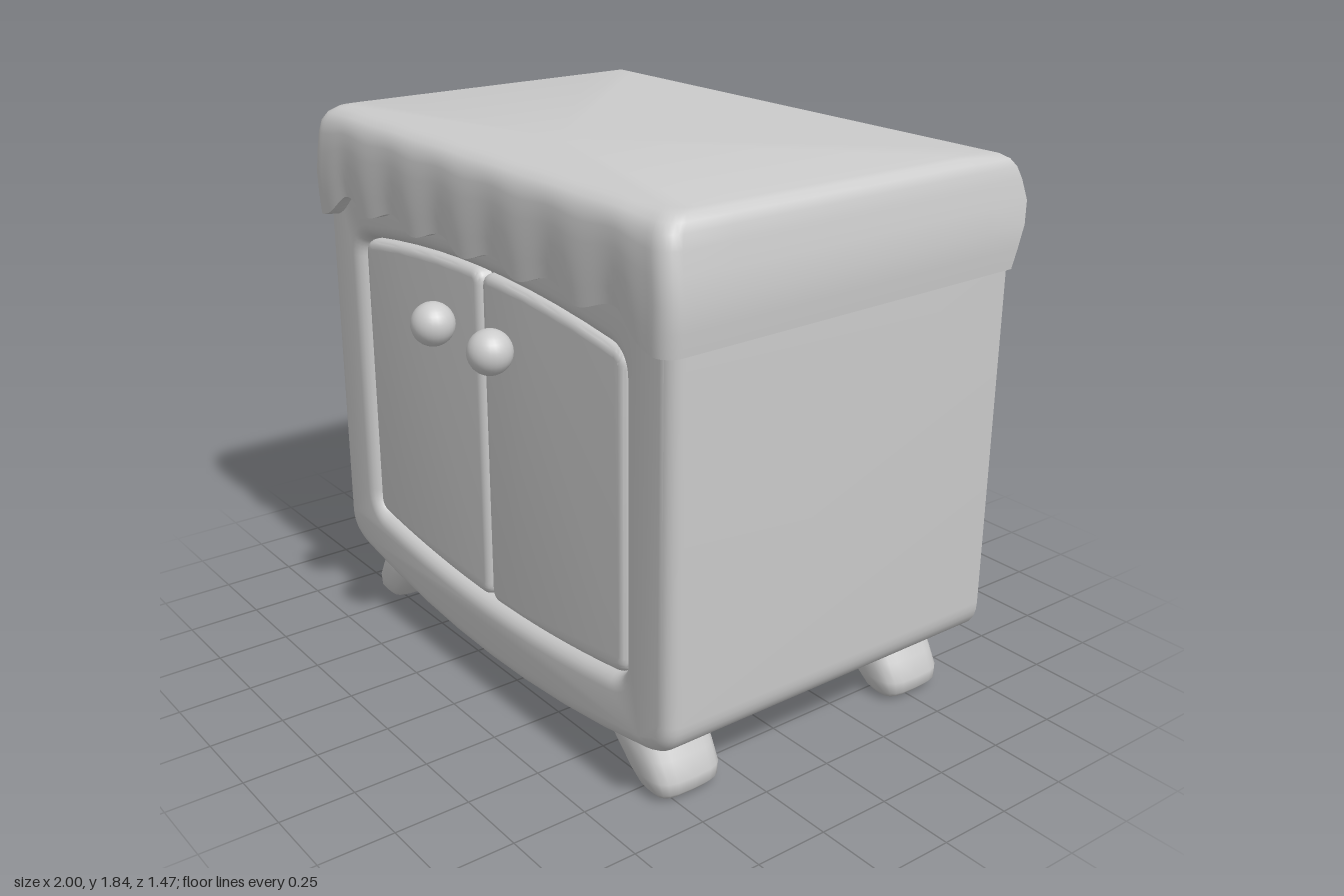
import * as THREE from 'three';
import { toCreasedNormals } from 'three/addons/utils/BufferGeometryUtils.js';

const material = new THREE.MeshStandardMaterial({ color: 0xcccccc });

function addPart(parent, name, geometry) {
  const mesh = new THREE.Mesh(geometry, material);
  mesh.name = name;
  parent.add(mesh);
  return mesh;
}

// Skin over closed rings of [x, y, z], listed from top to bottom, capped at both ends
function loft(rings, crease) {
  const n = rings[0].length, pos = [], index = [];
  rings.forEach(ring => ring.forEach(p => pos.push(...p)));
  for (let r = 0; r < rings.length - 1; r++) {
    for (let i = 0; i < n; i++) {
      const j = (i + 1) % n, a = r * n + i, b = r * n + j;
      index.push(a, a + n, b + n, a, b + n, b);
    }
  }
  [0, rings.length - 1].forEach((r, end) => {
    const centre = pos.length / 3;
    for (let k = 0; k < 3; k++) pos.push(rings[r].reduce((s, p) => s + p[k], 0) / n);
    for (let i = 0; i < n; i++) {
      const a = r * n + i, b = r * n + (i + 1) % n;
      if (end) index.push(centre, b, a); else index.push(centre, a, b);
    }
  });
  const g = new THREE.BufferGeometry();
  g.setAttribute('position', new THREE.Float32BufferAttribute(pos, 3));
  g.setIndex(index);
  return toCreasedNormals(g.toNonIndexed(), crease);
}

// Extrusion from z0 to z1 with a rounded front edge and a flat back
function slab(shape, z0, z1, bevel) {
  const g = new THREE.ExtrudeGeometry(shape, {
    depth: z1 - z0 - bevel, bevelEnabled: bevel > 0, bevelSize: bevel, bevelThickness: bevel,
    bevelOffset: -bevel, bevelSegments: 5, curveSegments: 8,
  });
  g.translate(0, 0, z0);
  const p = g.attributes.position;
  for (let i = 0; i < p.count; i++) p.setZ(i, Math.max(p.getZ(i), z0));
  return toCreasedNormals(g, 0.6);
}

// Rounded panel with bowed top and bottom edges
function panel(x0, x1, r, grow = 0) {
  const top = x => 1.475 + grow - 0.11 * x * x;
  const bottom = x => 0.335 - grow + 0.11 * x * x;
  const s = new THREE.Shape(), n = 10, a = x0 + r, b = x1 - r;
  s.moveTo(x0, bottom(x0) + r);
  s.lineTo(x0, top(x0) - r);
  s.quadraticCurveTo(x0, top(x0), a, top(a));
  for (let i = 1; i <= n; i++) { const x = a + (b - a) * i / n; s.lineTo(x, top(x)); }
  s.quadraticCurveTo(x1, top(x1), x1, top(x1) - r);
  s.lineTo(x1, bottom(x1) + r);
  s.quadraticCurveTo(x1, bottom(x1), b, bottom(b));
  for (let i = 1; i <= n; i++) { const x = b + (a - b) * i / n; s.lineTo(x, bottom(x)); }
  s.quadraticCurveTo(x0, bottom(x0), x0, bottom(x0) + r);
  return s;
}

// Cabinet outline with a bowed underside
function bodyShape() {
  const s = new THREE.Shape();
  s.moveTo(-0.84, 0.2);
  s.quadraticCurveTo(0, 0.03, 0.84, 0.2);
  s.quadraticCurveTo(0.97, 0.225, 0.97, 0.33);
  s.lineTo(0.97, 1.7);
  s.lineTo(-0.97, 1.7);
  s.lineTo(-0.97, 0.33);
  s.quadraticCurveTo(-0.97, 0.225, -0.84, 0.2);
  return s;
}

// Draped cover with a scalloped front hem
function coverGeometry() {
  const plan = [], r = 0.06, zFront = 0.65, zBack = -0.735;
  for (let i = 0; i <= 96; i++) plan.push([-0.94 + 1.88 * i / 96, zFront]);
  for (let i = 1; i <= 6; i++) {
    const a = i / 6 * Math.PI / 2;
    plan.push([0.94 + r * Math.sin(a), zFront - r + r * Math.cos(a)]);
  }
  for (let i = 1; i <= 8; i++) plan.push([1, 0.59 + (zBack - 0.59) * i / 8]);
  for (let i = 1; i <= 24; i++) plan.push([1 - i / 12, zBack]);
  for (let i = 1; i <= 8; i++) plan.push([-1, zBack + (0.59 - zBack) * i / 8]);
  for (let i = 1; i < 6; i++) {
    const a = i / 6 * Math.PI / 2;
    plan.push([-0.94 - r * Math.cos(a), zFront - r + r * Math.sin(a)]);
  }
  // drop, half width, front z, back z
  const profile = [
    [0, 0.915, 0.545, -0.62], [0.015, 0.94, 0.58, -0.65], [0.06, 0.96, 0.612, -0.678],
    [0.13, 0.971, 0.632, -0.7], [0.24, 0.979, 0.642, -0.718], [0.42, 0.99, 0.647, -0.735],
    [0.62, 1, 0.65, -0.722], [0.82, 0.996, 0.649, -0.705], [1, 0.99, 0.646, -0.69],
    [1, 0.95, 0.59, -0.68],
  ];
  const rings = profile.map(([t, hx, zf, zb]) => plan.map(([px, pz]) => {
    const x = px * hx;
    const front = THREE.MathUtils.smoothstep(pz, 0.6, 0.65)
      * (1 - THREE.MathUtils.smoothstep(Math.abs(px), 0.77, 0.96));
    const wave = Math.cos(x * Math.PI * 2 / 0.3);
    const hem = THREE.MathUtils.lerp(1.472 - 0.012 * pz, 1.54 - 0.019 * wave, front);
    const z = zb + (pz - zBack) / (zFront - zBack) * (zf - zb) + 0.008 * wave * front * t;
    return [x, 1.84 - t * (1.84 - hem), z];
  }));
  return loft(rings, 0.9);
}

// Splayed, soft-cornered foot
function footGeometry(side, z) {
  // height, inner x, outer x, half depth
  const sections = [
    [0.26, 0.44, 0.79, 0.12], [0.19, 0.54, 0.825, 0.13], [0.13, 0.61, 0.858, 0.13],
    [0.07, 0.68, 0.887, 0.127], [0.03, 0.73, 0.885, 0.118], [0.008, 0.755, 0.865, 0.1],
    [0, 0.775, 0.845, 0.075],
  ];
  const soft = v => Math.sign(v) * Math.pow(Math.abs(v), 0.6);
  return loft(sections.map(([y, x0, x1, hz]) => Array.from({ length: 20 }, (_, i) => {
    const a = i / 20 * Math.PI * 2;
    return [side * (x0 + x1) / 2 + soft(Math.sin(a)) * (x1 - x0) / 2, y, z + soft(Math.cos(a)) * hz];
  })), 1.2);
}

export function createModel() {
  const model = new THREE.Group();
  model.name = 'cabinet';

  // Body with a door opening, and the solid behind the doors
  const frame = bodyShape();
  frame.holes.push(panel(-0.75, 0.75, 0.07));
  addPart(model, 'body', slab(frame, -0.69, 0.61, 0.05));
  addPart(model, 'doorRecess', slab(panel(-0.76, 0.76, 0.06, 0.01), -0.69, 0.54, 0));

  addPart(model, 'cover', coverGeometry());

  // Doors, knobs and feet
  for (const side of [-1, 1]) {
    const label = side > 0 ? 'left' : 'right';
    const x0 = side > 0 ? 0.003 : -0.743;
    addPart(model, label + 'Door', slab(panel(x0, x0 + 0.74, 0.05, -0.006), 0.5, 0.595, 0.03));
    const knob = addPart(model, label + 'Knob', new THREE.SphereGeometry(0.072, 24, 16));
    knob.position.set(side * 0.168, 1.27, 0.667);
    addPart(model, label + 'FrontFoot', footGeometry(side, 0.437));
    addPart(model, label + 'BackFoot', footGeometry(side, -0.52));
  }
  // Centre the depth between the cover's back and the knobs
  return model;
}
